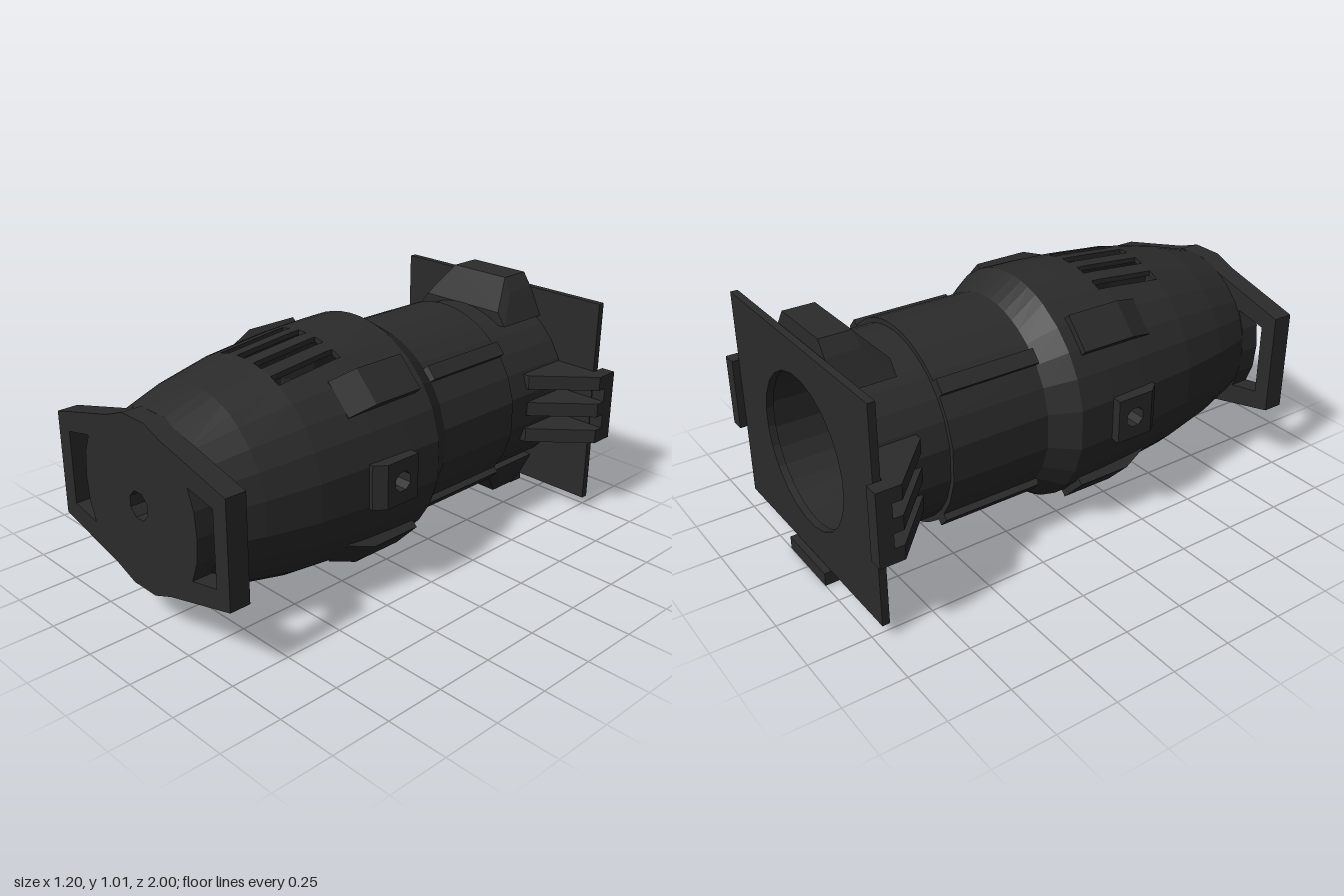
import * as THREE from 'three';
import { ConvexGeometry } from 'three/addons/geometries/ConvexGeometry.js';

const CY = 0.508; // height of the lamp axis

// prism from an (x, z) outline, spanning y0..y1
function slab(points, y0, y1) {
  const shape = new THREE.Shape(points.map(([x, z]) => new THREE.Vector2(x, -z)));
  const g = new THREE.ExtrudeGeometry(shape, { depth: y1 - y0, bevelEnabled: false });
  return g.rotateX(-Math.PI / 2).translate(0, y0, 0);
}

// mirrored copy across x = 0 with corner order restored
function mirrorX(geo) {
  const g = geo.index ? geo.toNonIndexed() : geo.clone();
  g.scale(-1, 1, 1);
  const p = g.attributes.position;
  const a = new THREE.Vector3(), b = new THREE.Vector3();
  for (let i = 0; i < p.count; i += 3) {
    a.fromBufferAttribute(p, i + 1);
    b.fromBufferAttribute(p, i + 2);
    p.setXYZ(i + 1, b.x, b.y, b.z);
    p.setXYZ(i + 2, a.x, a.y, a.z);
  }
  g.computeVertexNormals();
  return g;
}

function ring(r, sides) {
  const pts = [];
  for (let i = 0; i < sides; i++) {
    const t = ((i + 0.5) / sides) * Math.PI * 2;
    pts.push(new THREE.Vector2(r * Math.cos(t), r * Math.sin(t)));
  }
  return new THREE.Path(pts);
}

const outline = (pts) => pts.map(([x, y]) => new THREE.Vector2(x, y));

// hollow housing with vent slots above and below and a bolt hole on each side
function housingGeometry() {
  // z, outer radius, inner radius
  const rows = [
    [0.92, 0.34, 0.32], [0.74, 0.395, 0.375], [0.52, 0.44, 0.42], [0.26, 0.466, 0.446],
    [0.22, 0.468, 0.448], [0.1, 0.474, 0.454], [-0.05, 0.477, 0.457], [-0.16, 0.407, 0.387],
    [-0.58, 0.407, 0.387], [-0.58, 0.387, 0.32], [-0.945, 0.387, 0.32],
  ];
  // columns: angle as a function of radius, so that slot edges stay straight
  const cols = [];
  const fixed = (deg) => cols.push({ angle: () => (deg * Math.PI) / 180 });
  const slots = (sign) => {
    for (let k = 2; k >= -2; k--) {
      for (const e of [0.0225, -0.0225]) {
        const x = sign * (k * 0.094 + e * 1);
        const turn = sign > 0 ? 0 : 2 * Math.PI;
        cols.push({
          angle: (r) => (sign > 0 ? Math.acos(x / r) : turn - Math.acos(x / r)),
          slot: e > 0,
        });
      }
    }
  };
  for (const sign of [1, -1]) {
    const base = sign > 0 ? 0 : 180;
    cols.push({ angle: () => ((base - 10) * Math.PI) / 180, bolt: true });
    [10, 25, 37.5, 50].forEach((d) => fixed(base + d));
    slots(sign);
    [130, 142.5, 155].forEach((d) => fixed(base + d));
  }
  const n = cols.length;
  const at = (i, j, k) => {
    const r = rows[i][k];
    const t = cols[(j + n) % n].angle(r);
    return [r * Math.cos(t), CY + r * Math.sin(t), rows[i][0]];
  };
  const solid = (i, j) => {
    if (i < 0 || i >= rows.length - 1) return false;
    const c = cols[(j + n) % n];
    return !((c.slot && (i === 2 || i === 3)) || (c.bolt && (i === 3 || i === 4)));
  };
  const pos = [];
  const quad = (a, b, c, d) => pos.push(...a, ...b, ...c, ...a, ...c, ...d);
  for (let i = 0; i < rows.length - 1; i++) {
    for (let j = 0; j < n; j++) {
      if (!solid(i, j)) continue;
      const corners = [[i, j], [i + 1, j], [i + 1, j + 1], [i, j + 1]];
      const out = corners.map(([u, v]) => at(u, v, 1));
      const inn = corners.map(([u, v]) => at(u, v, 2));
      quad(...out);
      quad(inn[0], inn[3], inn[2], inn[1]);
      // walls around openings and at both ends
      [[i, j - 1], [i + 1, j], [i, j + 1], [i - 1, j]].forEach(([u, v], e) => {
        const f = (e + 1) % 4;
        if (!solid(u, v)) quad(out[e], inn[e], inn[f], out[f]);
      });
    }
  }
  const g = new THREE.BufferGeometry();
  g.setAttribute('position', new THREE.Float32BufferAttribute(pos, 3));
  g.computeVertexNormals();
  return g;
}

export function createModel() {
  const root = new THREE.Group();
  root.name = 'stageSpotlight';
  const black = new THREE.MeshStandardMaterial({ color: 0x2b2b2b });
  black.name = 'matte black';
  const add = (name, geo) => {
    const m = new THREE.Mesh(geo, black);
    m.name = name;
    root.add(m);
  };
  const addPair = (name, geo) => {
    add(name + 'Left', geo);
    add(name + 'Right', mirrorX(geo));
  };

  add('housing', housingGeometry());

  // end plate with two hand grips and a central hole
  const half = [[0.505, 0.212], [0.165, 0.3], [0.065, 0.338]];
  const flipX = (pts) => pts.map(([x, y]) => [-x, y]).reverse();
  const upper = [...half, ...flipX(half)];
  const lower = upper.map(([x, y]) => [x, -y]).reverse();
  const plate = new THREE.Shape(outline([...upper, ...lower]));
  const grip = [[0.435, 0.15], [0.3, 0.178], [0.33, 0.1], [0.34, 0],
    [0.33, -0.1], [0.3, -0.178], [0.435, -0.15]];
  plate.holes.push(new THREE.Path(outline(grip)), new THREE.Path(outline(flipX(grip))), ring(0.057, 8));
  add('handlePlate', new THREE.ExtrudeGeometry(plate, { depth: 0.085, bevelEnabled: false })
    .translate(0, CY, 0.915));

  // square colour frame with a round opening
  const frame = new THREE.Shape(outline([[-0.535, -0.445], [0.535, -0.445], [0.535, 0.445], [-0.535, 0.445]]));
  frame.holes.push(ring(0.31, 24));
  add('gelFrame', new THREE.ExtrudeGeometry(frame, { depth: 0.03, bevelEnabled: false })
    .translate(0, CY, -0.973));

  // wedge lugs and sleeve ribs on the diagonals
  for (const [tag, s] of [['Upper', 1], ['Lower', -1]]) {
    const lug = slab([[0.42, 0], [0.5, 0], [0.5, 0.23], [0.455, 0.34], [0.42, 0.34]], -0.077, 0.077);
    addPair('lug' + tag, lug.rotateZ((s * 44 * Math.PI) / 180).translate(0, CY, 0));
    const rib = slab([[0.39, -0.14], [0.432, -0.16], [0.432, -0.58], [0.39, -0.58]], -0.03, 0.03);
    addPair('rib' + tag, rib.rotateZ((s * 42 * Math.PI) / 180).translate(0, CY, 0));
  }

  // yoke bolt bosses
  const boss = new THREE.Shape(outline([[-0.26, -0.09], [-0.1, -0.09], [-0.1, 0.09], [-0.26, 0.09]]));
  const bolt = ring(0.042, 8).getPoints().map((p) => p.add(new THREE.Vector2(-0.18, 0)));
  boss.holes.push(new THREE.Path(bolt));
  addPair('boltBoss', new THREE.ExtrudeGeometry(boss, { depth: 0.075, bevelEnabled: false })
    .rotateY(Math.PI / 2).translate(0.43, CY, 0));
  addPair('bossRamp', slab([[0.44, 0.26], [0.505, 0.26], [0.47, 0.305], [0.44, 0.305]], CY - 0.09, CY + 0.09));

  // side frame holders: three fins joined by a lip
  const fin = [[0.34, -0.7], [0.385, -0.7], [0.6, -0.9], [0.6, -1], [0.54, -1], [0.54, -0.94], [0.34, -0.94]];
  for (const y of [0.36, 0.48, 0.6]) addPair('holderFin', slab(fin, y, y + 0.06));
  addPair('holderLip', new THREE.BoxGeometry(0.06, 0.3, 0.06).translate(0.57, 0.51, -0.97));

  // top and bottom frame holders
  const holder = (s) => {
    const pts = [];
    for (const x of [-1, 1]) {
      for (const [px, py, pz] of [[0.24, 0.33, -0.7], [0.2, 0.385, -0.7], [0.14, 0.504, -0.81],
        [0.18, 0.447, -0.8], [0.14, 0.504, -0.94], [0.18, 0.447, -0.94], [0.24, 0.33, -0.94]]) {
        pts.push(new THREE.Vector3(x * px, CY + s * py, pz));
      }
    }
    return new ConvexGeometry(pts);
  };
  add('topHolder', holder(1));
  add('bottomHolder', holder(-1));
  add('bottomLip', new THREE.BoxGeometry(0.29, 0.055, 0.07).translate(0, 0.0315, -0.965));

  return root;
}
